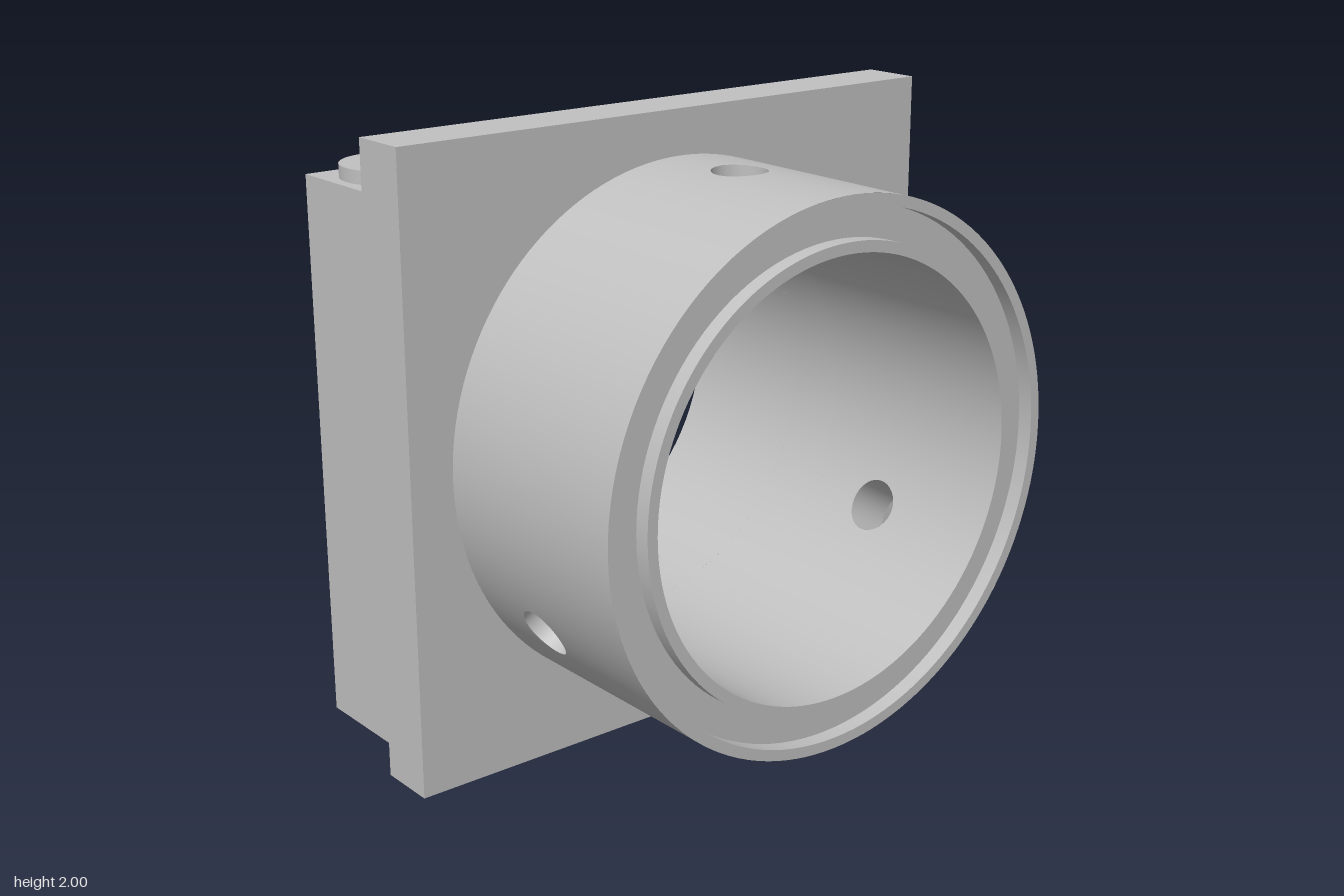
import * as THREE from 'three';
import { mergeGeometries, toCreasedNormals } from 'three/addons/utils/BufferGeometryUtils.js';
import { ParametricGeometry } from 'three/addons/geometries/ParametricGeometry.js';

const BORE = 0.685, OUTER = 0.855, MID_Y = 1;
const X0 = -0.735, X1 = -0.215, X2 = -0.02, X3 = 0.73; // block, flange, tube, end
const BLOCK_TOP = 1.8, BLOCK_Z = 0.89;
const NOTCH = { x: -0.52, z: -0.71, y: 1.58 };
const PORTS = [
  { x: -0.55, z: 0.69, r: 0.165, hole: 0.075 },
  { x: -0.45, z: -0.67, r: 0.115, hole: 0.073, cut: true },
];
const HOLE_R = 0.086, HOLE_X = 0.265, PATCH = 0.3;
const TAU = Math.PI * 2;

export function createModel() {
  const model = new THREE.Group();
  const grey = new THREE.MeshStandardMaterial({ color: 0xc0c0c0, side: THREE.DoubleSide });
  grey.name = 'machined grey';

  const add = (name, geometry) => {
    const mesh = new THREE.Mesh(geometry, grey);
    mesh.name = name;
    model.add(mesh);
  };
  const lerp = THREE.MathUtils.lerp;
  // Point on a cylinder about the x axis; angle 0 faces the front, 90 degrees is up
  const onTube = (a, x, r, target) =>
    target.set(x, MID_Y + r * Math.sin(a), r * Math.cos(a));
  // Band swept between angles a0, a1 along a line from (x0, r0) to (x1, r1)
  const band = (a0, a1, x0, r0, x1, r1, n) => new ParametricGeometry(
    (u, v, t) => onTube(lerp(a0, a1, u), lerp(x0, x1, v), lerp(r0, r1, v), t), n, 1);
  const circle = (x, y, r) => new THREE.Path().absarc(x, y, r, 0, TAU, true);
  const shapeOf = (pts, holes = []) => {
    const s = new THREE.Shape(pts.map(([x, y]) => new THREE.Vector2(x, y)));
    s.holes.push(...holes);
    return s;
  };
  const quad = (...corners) => {
    const g = new THREE.BufferGeometry();
    g.setAttribute('position', new THREE.Float32BufferAttribute(corners.flat(), 3));
    g.setAttribute('uv', new THREE.Float32BufferAttribute([0, 0, 1, 0, 1, 1, 0, 1], 2));
    g.setIndex([0, 1, 2, 0, 2, 3]);
    g.computeVertexNormals();
    return g;
  };

  // Square flange with the bore through it
  const flange = new THREE.ExtrudeGeometry(
    shapeOf([[-1, 0], [1, 0], [1, 2], [-1, 2]], [circle(0, MID_Y, BORE)]),
    { depth: X2 - X1, bevelEnabled: false, curveSegments: 96 });
  add('flange', toCreasedNormals(flange.rotateY(Math.PI / 2).translate(X1, 0, 0), 0.5));

  // Rear block: end face with bore, notched top with ports, sides and bottom
  const Z = BLOCK_Z, T = BLOCK_TOP, N = NOTCH;
  const endFace = new THREE.ShapeGeometry(
    shapeOf([[-Z, 0], [Z, 0], [Z, T], [N.z, T], [N.z, N.y], [-Z, N.y]],
      [circle(0, MID_Y, BORE)]), 96);
  add('blockEnd', endFace.rotateY(-Math.PI / 2).translate(X0, 0, 0));

  const top = new THREE.ShapeGeometry(
    shapeOf([[X0, -Z], [X1, -Z], [X1, Z], [N.x, Z], [N.x, -N.z], [X0, -N.z]],
      PORTS.map((p) => circle(p.x, -p.z, p.hole))), 40);
  add('blockTop', top.rotateX(-Math.PI / 2).translate(0, T, 0));

  add('blockSides', mergeGeometries([
    quad([X0, 0, Z], [X1, 0, Z], [X1, T, Z], [X0, T, Z]),
    quad([X1, 0, -Z], [X0, 0, -Z], [X0, N.y, -Z], [X1, N.y, -Z]),
    quad([X1, N.y, -Z], [N.x, N.y, -Z], [N.x, T, -Z], [X1, T, -Z]),
    quad([X0, 0, -Z], [X1, 0, -Z], [X1, 0, Z], [X0, 0, Z]),
  ]));
  add('cornerNotch', mergeGeometries([
    quad([X0, N.y, N.z], [N.x, N.y, N.z], [N.x, N.y, -Z], [X0, N.y, -Z]),
    quad([N.x, N.y, N.z], [X0, N.y, N.z], [X0, T, N.z], [N.x, T, N.z]),
    quad([N.x, N.y, -Z], [N.x, N.y, N.z], [N.x, T, N.z], [N.x, T, -Z]),
  ]));
  add('blockBore', band(0, TAU, X0, BORE, X1, BORE, 96));

  // Raised port rings with blind wells below them
  for (const p of PORTS) {
    const ring = new THREE.Shape();
    if (p.cut) {
      // The corner notch bites a piece out of the small ring
      const cx = N.x - p.x, cy = p.z - N.z;
      const aX = Math.atan2(Math.sqrt(p.r ** 2 - cx ** 2), cx);
      const aY = Math.atan2(cy, -Math.sqrt(p.r ** 2 - cy ** 2));
      ring.moveTo(cx, cy);
      ring.absarc(0, 0, p.r, aY, aX + TAU, false);
      ring.closePath();
    } else {
      ring.absarc(0, 0, p.r, 0, TAU, false);
    }
    ring.holes.push(circle(0, 0, p.hole));
    const g = new THREE.ExtrudeGeometry(ring,
      { depth: 0.043, bevelEnabled: false, curveSegments: 40 });
    add('portRing', toCreasedNormals(
      g.rotateX(-Math.PI / 2).translate(p.x, T, p.z), 0.5));

    const depth = 0.4;
    add('portWell', new THREE.CylinderGeometry(p.hole, p.hole, depth, 40, 1, true)
      .translate(p.x, T - depth / 2, p.z));
    add('portFloor', new THREE.CircleGeometry(p.hole, 40)
      .rotateX(-Math.PI / 2).translate(p.x, T - depth, p.z));
  }

  // Tube wall: three plain arcs alternating with three pierced panels
  const holeAngle = (phi, r) => Math.asin(HOLE_R * Math.cos(phi) / r);
  const piercedPanel = (a, r) => new ParametricGeometry((u, v, t) => {
    const phi = u * TAU, c = Math.cos(phi), s = Math.sin(phi);
    const m = Math.max(Math.abs(c), Math.abs(s));
    const edgeX = HOLE_X + (s / m) * (s > 0 ? X3 - HOLE_X : HOLE_X - X2);
    onTube(a + lerp(holeAngle(phi, r), PATCH * c / m, v),
      lerp(HOLE_X + HOLE_R * s, edgeX, v), r, t);
  }, 64, 10);

  for (let i = 0; i < 3; i++) {
    const a = Math.PI / 2 + i * TAU / 3;
    for (const r of [OUTER, BORE]) {
      const name = r === OUTER ? 'tubeOutside' : 'tubeInside';
      add(name, mergeGeometries([
        piercedPanel(a, r),
        band(a + PATCH, a + TAU / 3 - PATCH, X2, r, X3, r, 32),
      ]));
    }
    add('radialHole', new ParametricGeometry((u, v, t) => {
      const phi = u * TAU, r = lerp(OUTER, BORE, v);
      onTube(a + holeAngle(phi, r), HOLE_X + HOLE_R * Math.sin(phi), r, t);
    }, 48, 2));
  }

  // Tube end face with a seal groove
  const G = X3 - 0.05;
  const profile = [[X3, OUTER], [X3, 0.82], [G, 0.82], [G, 0.72], [X3, 0.72], [X3, BORE]];
  add('grooveEnd', mergeGeometries(profile.slice(1).map(([x, r], i) =>
    band(0, TAU, profile[i][0], profile[i][1], x, r, 120))));

  return model;
}
